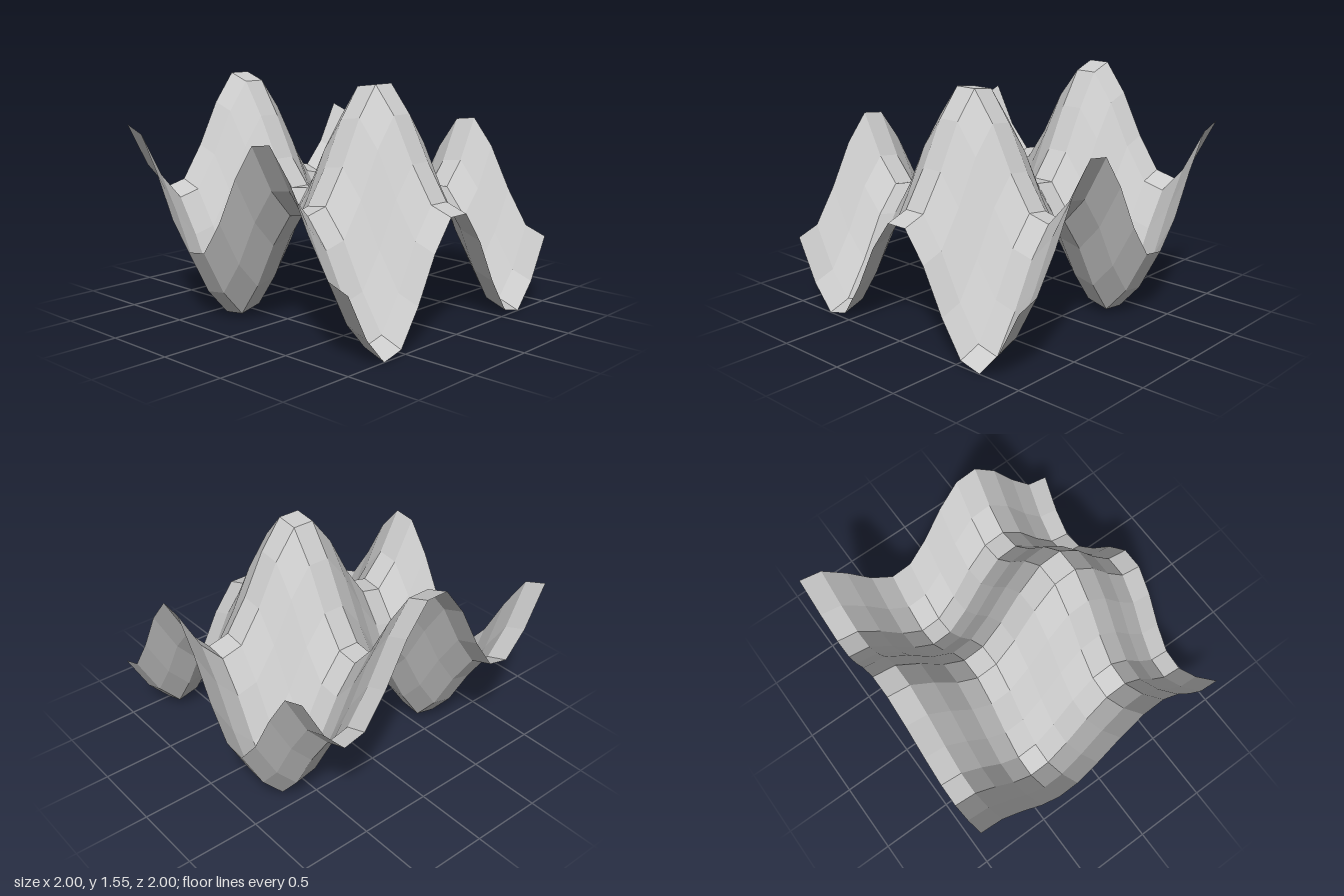
import * as THREE from 'three';

const SEGMENTS = 13;
const AMPLITUDE = 0.4;
const FREQUENCY = 4.9;
const MID_HEIGHT = 0.78;

// Height of the sheet: one wave along x plus one along z
const height = (x, z) =>
  MID_HEIGHT + AMPLITUDE * (Math.sin(FREQUENCY * x) + Math.cos(FREQUENCY * z));

export function createModel() {
  const model = new THREE.Group();
  model.name = 'waveSurface';

  const grey = new THREE.MeshStandardMaterial({
    color: 0xcccccc,
    flatShading: true,
    side: THREE.DoubleSide,
  });
  grey.name = 'lightGrey';

  // Square sheet of flat facets, lifted into hills and valleys
  const grid = new THREE.PlaneGeometry(2, 2, SEGMENTS, SEGMENTS).rotateX(-Math.PI / 2);
  const points = grid.attributes.position;
  for (let i = 0; i < points.count; i++) {
    points.setY(i, height(points.getX(i), points.getZ(i)));
  }
  const facets = grid.toNonIndexed();
  facets.computeVertexNormals();
  facets.computeBoundingBox();
  facets.translate(0, -facets.boundingBox.min.y, 0);

  const sheet = new THREE.Mesh(facets, grey);
  sheet.name = 'wavySheet';
  model.add(sheet);
  return model;
}
